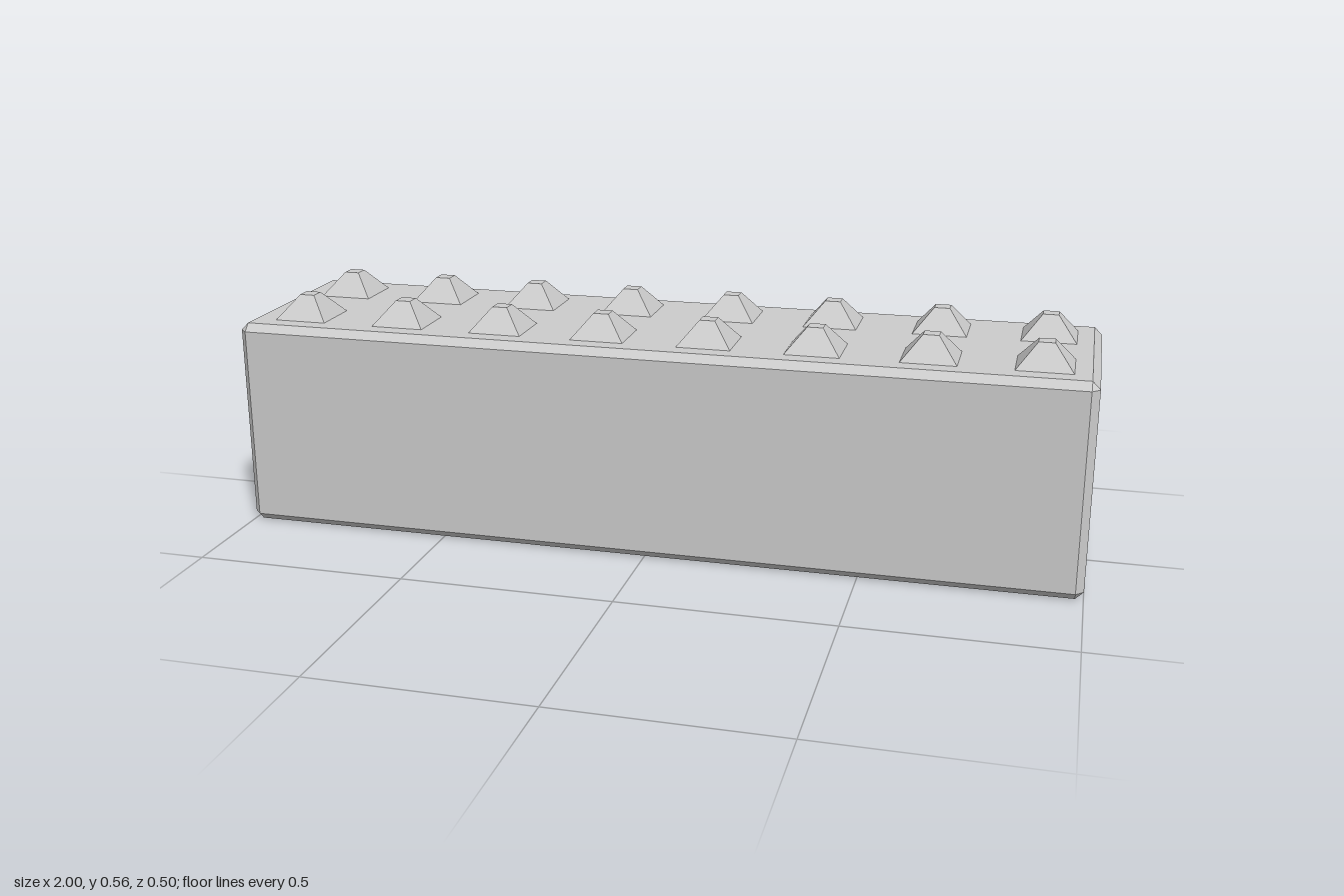
import * as THREE from 'three';
import { ConvexGeometry } from 'three/addons/geometries/ConvexGeometry.js';

const material = new THREE.MeshStandardMaterial({ color: 0xcccccc, flatShading: true });

// Box with every edge and corner cut by a flat chamfer
function chamferedBox(width, height, depth, chamfer) {
  const half = [width / 2, height / 2, depth / 2];
  const points = [];
  for (const sx of [-1, 1]) for (const sy of [-1, 1]) for (const sz of [-1, 1]) {
    for (let face = 0; face < 3; face++) {
      const [x, y, z] = half.map((h, axis) => (axis === face ? h : h - chamfer));
      points.push(new THREE.Vector3(sx * x, sy * y, sz * z));
    }
  }
  return new ConvexGeometry(points);
}

// Truncated square pyramid, open below, standing on y = 0
function studGeometry(baseWidth, topWidth, height) {
  const geometry = new THREE.CylinderGeometry(topWidth * Math.SQRT1_2, baseWidth * Math.SQRT1_2, height, 4);
  return geometry.rotateY(Math.PI / 4).translate(0, height / 2, 0);
}

export function createModel() {
  const group = new THREE.Group();
  group.name = 'studdedBlock';

  // Block body
  const bodyHeight = 0.5;
  const body = new THREE.Mesh(chamferedBox(2, bodyHeight, 0.5, 0.018), material);
  body.name = 'body';
  body.position.y = bodyHeight / 2;
  group.add(body);

  // Two rows of studs on top
  const studs = new THREE.Group();
  studs.name = 'studs';
  const geometry = studGeometry(0.126, 0.036, 0.055);
  for (const z of [0.127, -0.125]) {
    for (const x of [-0.867, -0.618, -0.374, -0.126, 0.126, 0.374, 0.632, 0.881]) {
      const stud = new THREE.Mesh(geometry, material);
      stud.name = 'stud';
      stud.position.set(x, bodyHeight, z);
      studs.add(stud);
    }
  }
  group.add(studs);
  return group;
}
